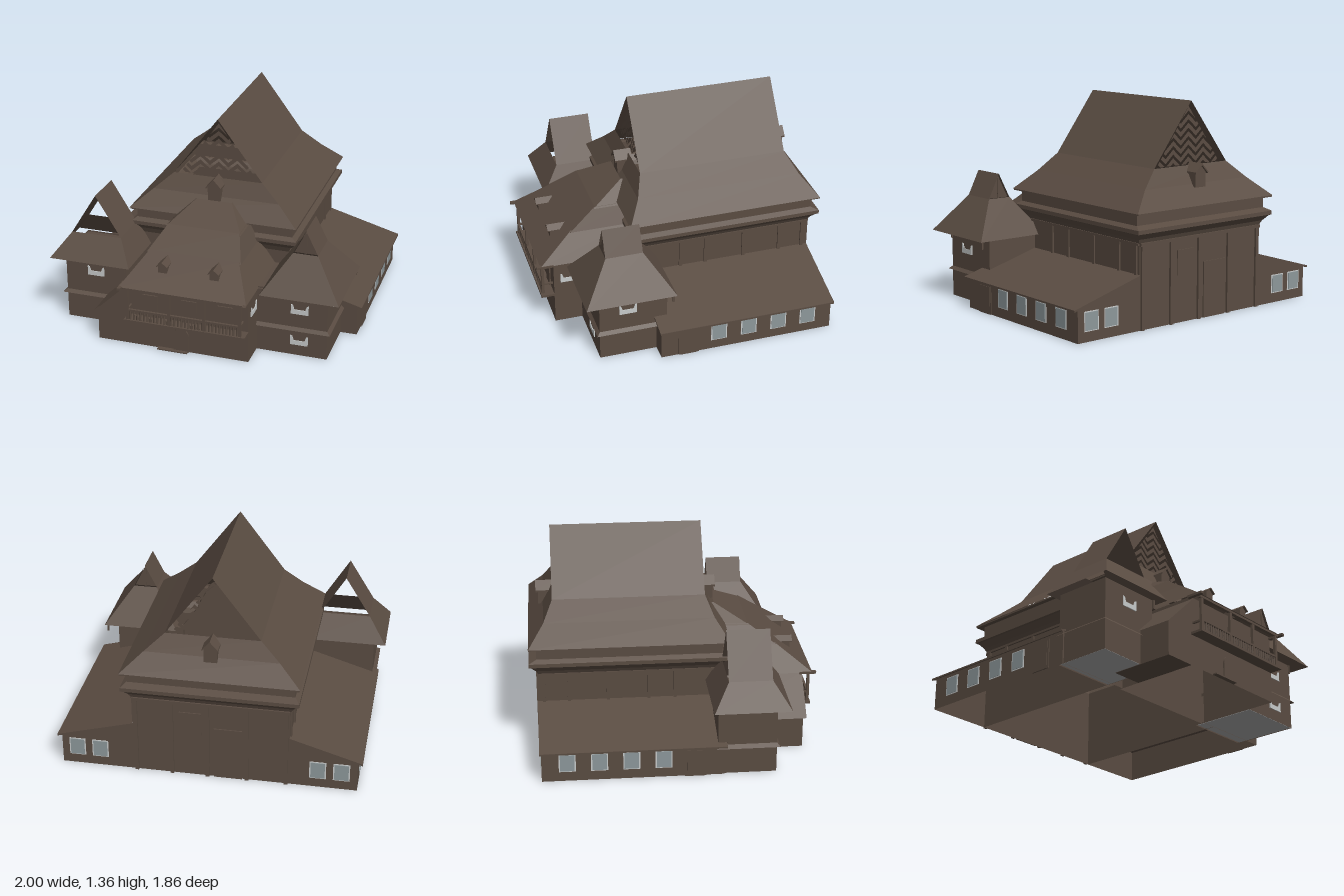
import * as THREE from 'three';

export function createModel() {
  const model = new THREE.Group();
  const mat = (name, color) => {
    const m = new THREE.MeshStandardMaterial({ color, side: THREE.DoubleSide });
    m.name = name;
    return m;
  };
  const timber = mat('timber brown', 0x5a4c42);
  const glass = mat('window glass', 0x8d989b);
  const pale = mat('pale pane', 0xc8cbcb);
  const grey = mat('grey floor', 0xa8a8a8);

  const add = (name, geo, m = timber) => {
    const mesh = new THREE.Mesh(geo, m);
    mesh.name = name;
    model.add(mesh);
    return mesh;
  };
  const box = (name, x0, x1, y0, y1, z0, z1, m) =>
    add(name, new THREE.BoxGeometry(Math.abs(x1 - x0), y1 - y0, z1 - z0)
      .translate((x0 + x1) / 2, (y0 + y1) / 2, (z0 + z1) / 2), m);

  // flat polygons, each a convex loop of points
  const faces = (name, polys, m) => {
    const pos = [];
    for (const p of polys)
      for (let i = 1; i < p.length - 1; i++) pos.push(...p[0], ...p[i], ...p[i + 1]);
    const g = new THREE.BufferGeometry();
    g.setAttribute('position', new THREE.Float32BufferAttribute(pos, 3));
    g.computeVertexNormals();
    return add(name, g, m);
  };

  // open shell through stacked rectangles [y, x0, x1, z0, z1], bottom to top
  const shell = (name, rects) => {
    const ring = ([y, a, b, c, d]) => [[a, y, d], [b, y, d], [b, y, c], [a, y, c]];
    const polys = [];
    for (let i = 0; i < rects.length - 1; i++) {
      const lo = ring(rects[i]), hi = ring(rects[i + 1]);
      for (let k = 0; k < 4; k++) polys.push([lo[k], lo[(k + 1) % 4], hi[(k + 1) % 4], hi[k]]);
    }
    return faces(name, polys);
  };

  // two thin roof slopes meeting at a ridge along z
  const saddle = (name, x, half, yBase, yTop, z0, z1) => faces(name, [
    [[x - half, yBase, z0], [x - half, yBase, z1], [x, yTop, z1], [x, yTop, z0]],
    [[x + half, yBase, z1], [x + half, yBase, z0], [x, yTop, z0], [x, yTop, z1]],
  ]);

  const extrude = (name, pts, depth, m) => {
    const s = new THREE.Shape(pts.map(([x, y]) => new THREE.Vector2(x, y)));
    return add(name, new THREE.ExtrudeGeometry(s, { depth, bevelEnabled: false }), m);
  };

  // ---- Great hall: walls, cove, double eave and tall roof
  const H = [-0.87, 0.27];
  shell('hallWalls', [[0, -0.5, 0.5, ...H], [0.53, -0.5, 0.5, ...H], [0.565, -0.52, 0.52, -0.885, 0.285],
    [0.6, -0.55, 0.55, -0.915, 0.315], [0.605, -0.56, 0.56, -0.93, 0.33], [0.63, -0.56, 0.56, -0.93, 0.33],
    [0.65, -0.53, 0.53, -0.88, 0.3], [0.72, -0.53, 0.53, -0.88, 0.3], [0.72, -0.56, 0.56, -0.93, 0.345],
    [0.73, -0.56, 0.56, -0.93, 0.345]]);
  shell('hallRoofSkirt', [[0.73, -0.565, 0.565, -0.93, 0.35], [0.85, -0.425, 0.425, -0.83, 0.26],
    [0.96, -0.3, 0.3, -0.77, 0.21]]);
  saddle('hallRoof', 0, 0.3, 0.96, 1.36, -0.77, 0.21);

  // zigzag slats in both gables, clipped to the gable triangle
  const clip = (poly, inside) => {
    const out = [];
    poly.forEach((a, i) => {
      const b = poly[(i + 1) % poly.length], da = inside(a), db = inside(b);
      if (da >= 0) out.push(a);
      if (da * db < 0) {
        const t = da / (da - db);
        out.push([a[0] + (b[0] - a[0]) * t, a[1] + (b[1] - a[1]) * t]);
      }
    });
    return out;
  };
  const step = 0.0625, slats = [];
  for (let row = 0; row < 10; row++) for (let k = -5; k < 5; k++) {
    const x0 = k * step, y = 0.87 + row * 0.053;
    const yA = y + (k % 2 === 0 ? 0.055 : 0), yB = y + (k % 2 === 0 ? 0 : 0.055), t = 0.031;
    let p = [[x0, yA], [x0 + step, yB], [x0 + step, yB + t], [x0, yA + t]];
    p = clip(p, ([, v]) => v - 0.96);
    p = clip(p, ([u, v]) => 1.325 - v - Math.abs(u) * 1.4);
    if (p.length > 2) slats.push(p);
  }
  for (const z of [0.185, -0.745])
    faces('gableLattice', slats.map(p => p.map(([u, v]) => [u, v, z])));

  // hall wall posts, rails and blind panels
  for (const x of [-0.48, -0.23, 0.02, 0.25, 0.48])
    box('backPost', x - 0.012, x + 0.012, 0, 0.54, -0.885, -0.87);
  box('backRail', -0.5, 0.5, 0.52, 0.54, -0.885, -0.87);
  box('backDoor', -0.2, -0.02, 0, 0.36, -0.878, -0.87);
  box('backPanel', 0.06, 0.2, 0.3, 0.46, -0.878, -0.87);
  for (const s of [-1, 1]) {
    for (const z of [-0.84, -0.68, -0.43, -0.17, 0])
      box('sidePost', s * 0.5, s * 0.51, 0.34, 0.54, z - 0.01, z + 0.01);
    box('sideRail', s * 0.5, s * 0.512, 0.525, 0.54, ...H);
  }

  // small gabled dormer facing dir along z
  const dormer = (x, y, z, w, h, depth, dir) => {
    const body = extrude('dormer', [[-w, 0], [w, 0], [w, h * 0.62], [0, h * 0.94], [-w, h * 0.62]], depth);
    const r = w * 1.2;
    const roof = extrude('dormerRoof', [[-r, h * 0.56], [0, h * 0.92], [r, h * 0.56], [r, h * 0.64], [0, h], [-r, h * 0.64]], depth + 0.015);
    for (const m of [body, roof]) {
      m.position.set(x, y, z);
      if (dir < 0) m.rotation.y = Math.PI;
    }
  };
  dormer(0, 0.83, 0.19, 0.042, 0.15, 0.1, 1);
  dormer(0, 0.83, -0.76, 0.042, 0.15, 0.1, -1);
  for (const x of [-0.175, 0.165]) dormer(x, 0.52, 0.67, 0.03, 0.08, 0.12, 1);

  // ---- Side aisles with lean-to roofs and window rows
  for (const [s, out] of [[1, 0.97], [-1, 0.93]]) {
    const X = s * out, E = s * (out + 0.03), I = s * 0.5, [b, f] = H;
    faces('aisleWalls', [
      [[X, 0, f], [X, 0, b], [X, 0.21, b], [X, 0.21, f]],
      [[X, 0, b], [I, 0, b], [I, 0.34, b], [X, 0.21, b]],
      [[I, 0, f], [X, 0, f], [X, 0.21, f], [I, 0.34, f]]]);
    faces('aisleRoof', [[[E, 0.205, 0.285], [E, 0.205, -0.88], [I, 0.345, -0.88], [I, 0.345, 0.285]]]);
    faces('vergeBoard', [0.285, -0.88].map(z => [[E, 0.195, z], [I, 0.333, z], [I, 0.345, z], [E, 0.207, z]]));
    box('eaveBoard', E, E - s * 0.008, 0.195, 0.206, -0.88, 0.285);
    const side = (name, z, w, y0, y1, t, m) =>
      box(name, X + s * 0.001, X + s * t, y0, y1, z - w, z + w, m);
    for (const z of [-0.11, -0.31, -0.51, -0.71]) {
      side('windowRim', z, 0.053, 0.064, 0.186, 0.004, pale);
      side('windowPane', z, 0.045, 0.07, 0.18, 0.007, glass);
    }
    side('aisleDoorFrame', 0.09, 0.068, 0, 0.19, 0.006);
    side('aisleDoor', 0.09, 0.055, 0, 0.178, 0.009);
    for (const d of [0.1, 0.25]) {
      const x = s * (out - d);
      box('windowRim', x - 0.053, x + 0.053, 0.064, 0.186, b - 0.004, b - 0.001, pale);
      box('windowPane', x - 0.045, x + 0.045, 0.07, 0.18, b - 0.007, b - 0.001, glass);
    }
  }

  // ---- Front wing with tiered roof
  shell('wingWalls', [[0, -0.4, 0.4, 0.25, 0.82], [0.45, -0.4, 0.4, 0.25, 0.82]]);
  shell('wingLowerRoof', [[0.44, -0.43, 0.41, 0.25, 0.905], [0.61, -0.305, 0.29, 0.25, 0.67]]);
  shell('wingMiddleRoof', [[0.6, -0.32, 0.305, 0.25, 0.68], [0.725, -0.24, 0.24, 0.25, 0.5]]);
  shell('wingUpperRoof', [[0.715, -0.25, 0.25, 0.25, 0.51], [0.83, -0.12, 0.12, 0.25, 0.29]]);
  for (const x of [-0.42, 0.4]) box('eaveBracket', x - 0.012, x + 0.012, 0.43, 0.445, 0.82, 0.93);
  faces('wingInnerPanel', [[[-0.3, 0.48, 0.74], [-0.3, 0.48, 0.3], [-0.3, 0.1, 0.28]]], grey);

  // balcony
  box('balconyFloor', -0.4, 0.4, 0.2, 0.215, 0.82, 0.905);
  box('balconyHandrail', -0.385, 0.37, 0.275, 0.287, 0.88, 0.895);
  box('balconyBeam', -0.4, 0.39, 0.425, 0.44, 0.875, 0.898);
  for (const x of [-0.38, -0.1, 0.13, 0.365]) box('balconyPost', x - 0.009, x + 0.009, 0.21, 0.43, 0.878, 0.896);
  for (let i = 0; i < 32; i++) {
    const x = -0.36 + i * 0.0228;
    add('baluster', new THREE.CylinderGeometry(0.005, 0.007, 0.06, 6).translate(x, 0.245, 0.888));
  }
  for (const x of [-0.38, 0.365]) box('balconySideRail', x - 0.006, x + 0.006, 0.275, 0.287, 0.82, 0.89);
  for (const x of [-0.25, 0.01, 0.25]) box('balconyDoor', x - 0.05, x + 0.05, 0.215, 0.37, 0.82, 0.828);

  // arched front door
  const arch = new THREE.Shape();
  arch.moveTo(-0.05, 0).lineTo(0.05, 0).lineTo(0.05, 0.115).absarc(0, 0.115, 0.05, 0, Math.PI);
  add('frontDoor', new THREE.ExtrudeGeometry(arch, { depth: 0.009, bevelEnabled: false, curveSegments: 8 }))
    .position.set(-0.045, 0, 0.82);
  box('doorStep', -0.2, 0, 0, 0.008, 0.82, 0.85);

  // covered stair on the wing's flank
  extrude('stairWing', [[-0.61, 0], [-0.4, 0], [-0.4, 0.42], [-0.61, 0.22]], 0.42).position.z = 0.4;
  faces('stairRoof', [[[-0.63, 0.21, 0.27], [-0.63, 0.21, 0.84], [-0.4, 0.43, 0.84], [-0.4, 0.43, 0.27]]]);

  // ---- Corner towers
  shell('rightTowerWalls', [[0, 0.4, 0.86, 0.2, 0.64], [0.45, 0.4, 0.86, 0.2, 0.64]]);
  shell('rightTowerSkirt', [[0.44, 0.44, 0.95, 0.16, 0.74], [0.68, 0.61, 0.77, 0.33, 0.57]]);
  faces('rightTowerValley', [[[0.395, 0.44, 0.2], [0.395, 0.44, 0.65], [0.46, 0.44, 0.65], [0.46, 0.44, 0.2]]]);
  saddle('rightTowerRoof', 0.69, 0.08, 0.68, 0.84, 0.33, 0.57);
  for (const z of [0.345, 0.555]) {
    faces('rightTowerGable', [[[0.615, 0.68, z], [0.765, 0.68, z], [0.69, 0.83, z]]]);
    box('gablePost', 0.685, 0.695, 0.68, 0.82, z - 0.006, z + 0.006);
  }
  shell('leftTowerWalls', [[0, -0.92, -0.5, 0.23, 0.6], [0.46, -0.92, -0.5, 0.23, 0.6]]);
  shell('leftTowerSkirt', [[0.45, -1, -0.45, 0.195, 0.68], [0.61, -0.88, -0.54, 0.295, 0.57]]);
  saddle('leftTowerRoof', -0.71, 0.17, 0.61, 0.885, 0.295, 0.57);
  faces('leftTowerCeiling', [[[-0.92, 0.45, 0.23], [-0.92, 0.45, 0.6], [-0.5, 0.45, 0.6], [-0.5, 0.45, 0.23]]]);
  box('rightTowerFloor', 0.41, 0.855, 0.002, 0.006, 0.21, 0.635, grey);
  box('leftTowerFloor', -0.915, -0.5, 0.002, 0.006, 0.24, 0.595, grey);
  shell('rightTowerBand', [[0.18, 0.38, 0.88, 0.19, 0.66], [0.2, 0.38, 0.86, 0.2, 0.64]]);
  shell('leftTowerBand', [[0.18, -0.945, -0.5, 0.22, 0.62], [0.2, -0.92, -0.5, 0.23, 0.6]]);

  // notched pale panes in the towers and wing
  const pane = (x, y, z, turn) => {
    const p = extrude('towerWindow', [[-0.057, 0], [0.057, 0], [0.057, 0.065], [0.045, 0.06], [0.035, 0.03],
      [-0.035, 0.03], [-0.045, 0.06], [-0.057, 0.065]], 0.006, pale);
    p.position.set(x, y, z);
    p.rotation.y = turn;
  };
  pane(0.68, 0.295, 0.641, 0);
  pane(0.68, 0.075, 0.641, 0);
  pane(-0.71, 0.33, 0.601, 0);
  pane(0.861, 0.31, 0.455, Math.PI / 2);
  pane(0.401, 0.3, 0.72, Math.PI / 2);

  // eave pendants on the towers
  for (const [x, z] of [[0.93, 0.18], [0.86, 0.64], [0.54, 0.66], [-0.51, 0.62]])
    box('eavePendant', x - 0.006, x + 0.006, 0.39, 0.45, z - 0.006, z + 0.006);

  return model;
}
